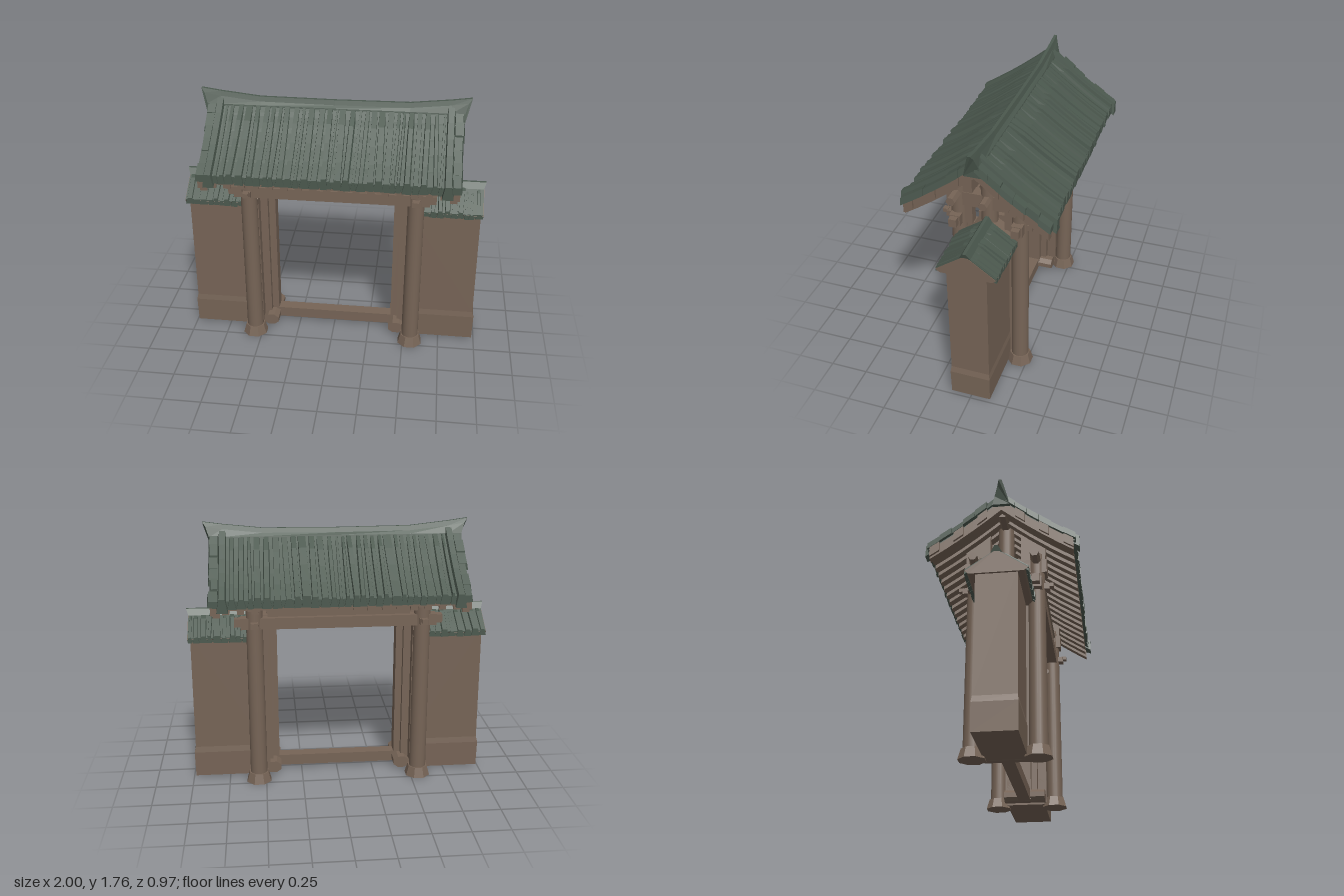
import * as THREE from 'three';
import { toCreasedNormals } from 'three/addons/utils/BufferGeometryUtils.js';

const wood = new THREE.MeshStandardMaterial({ color: 0x766456 });
wood.name = 'brown timber';
const tile = new THREE.MeshStandardMaterial({ color: 0x4b584e });
tile.name = 'green tile';

let seed = 7;
const rnd = (a, b) => {
  seed = (seed * 16807) % 2147483647;
  return a + (b - a) * seed / 2147483647;
};

// Closed flat-sided solid through rings of [x, y, z] points, always facing outwards
function loft(rings) {
  const tris = [], n = rings[0].length, last = rings[rings.length - 1];
  for (let i = 0; i < rings.length - 1; i++) {
    const a = rings[i], b = rings[i + 1];
    for (let j = 0; j < n; j++) {
      const k = (j + 1) % n;
      tris.push([a[j], a[k], b[k]], [a[j], b[k], b[j]]);
    }
  }
  for (let j = 1; j < n - 1; j++) {
    tris.push([rings[0][0], rings[0][j + 1], rings[0][j]], [last[0], last[j], last[j + 1]]);
  }
  const c = rings[0][0];
  let volume = 0;
  for (const t of tris) {
    const [p, q, r] = t.map(v => new THREE.Vector3(v[0] - c[0], v[1] - c[1], v[2] - c[2]));
    volume += p.dot(q.cross(r));
  }
  if (volume < 0) tris.forEach(t => t.reverse());
  const g = new THREE.BufferGeometry();
  g.setAttribute('position', new THREE.Float32BufferAttribute(tris.flat(2), 3));
  g.computeVertexNormals();
  return g;
}

function add(parent, name, geometry, material, x = 0, y = 0, z = 0) {
  const m = new THREE.Mesh(geometry, material);
  m.name = name;
  m.position.set(x, y, z);
  parent.add(m);
  return m;
}

// Box given by its limits on each axis
const box = (parent, name, mat, x0, x1, y0, y1, z0, z1) =>
  add(parent, name, new THREE.BoxGeometry(Math.abs(x1 - x0), y1 - y0, Math.abs(z1 - z0)), mat,
    (x0 + x1) / 2, (y0 + y1) / 2, (z0 + z1) / 2);

// Six-sided log running along x
const log = (parent, name, r, length, y, z) =>
  add(parent, name, toCreasedNormals(new THREE.CylinderGeometry(r, r, length, 6).rotateZ(Math.PI / 2), 0.6), wood, 0, y, z);

// Solid along x from a [z, y] outline
const prism = (outline, x0, x1) => loft([x0, x1].map(x => outline.map(([z, y]) => [x, y, z])));

// Height of each roof surface at a distance from the ridge
const mainSlope = z => 1.69 - 0.85 * Math.abs(z) + 0.25 * z * z;
const wingSlope = z => 1.16 - 0.7 * Math.abs(z);

// Strip that follows a slope, between two offsets from the surface
function strip(slope, x0, x1, z0, z1, low, high, inset = 0, steps = 5, skew = 0, topHigh = high) {
  const rings = [];
  for (let i = 0; i <= steps; i++) {
    const t = i / steps, z = z0 + (z1 - z0) * t, y = slope(z), s = skew * (t - 0.5);
    const h = i ? high : topHigh;
    rings.push([[x0 + s, y + low, z], [x1 + s, y + low, z],
      [x1 - inset + s, y + h, z], [x0 + inset + s, y + h, z]]);
  }
  return loft(rings);
}

// Uneven tile rows side by side over one slope, fading out towards the ridge
function tileRows(parent, slope, x0, x1, zTop, zEave, pitch, height, low) {
  const dir = Math.sign(zEave);
  for (let x = x0; x < x1 - pitch * 0.4;) {
    const w = Math.min(pitch * rnd(0.6, 1.3), x1 - x);
    add(parent, 'tileRow', strip(slope, x, x + w * 0.97, zTop + dir * rnd(0, 0.02), zEave + dir * rnd(-0.004, 0.003),
      low, height * rnd(0.25, 1), w * rnd(0.1, 0.32), 4, rnd(-0.012, 0.012), 0.004), tile);
    x += w;
  }
}

function buildMainRoof() {
  const roof = new THREE.Group();
  roof.name = 'mainRoof';
  for (const s of [1, -1]) {
    add(roof, 'roofSlab', strip(mainSlope, -0.8, 0.8, 0, s * 0.46, -0.045, 0), tile);
    add(roof, 'soffit', strip(mainSlope, -0.78, 0.78, 0, s * 0.445, -0.075, -0.046), wood);
    tileRows(roof, mainSlope, -0.71, 0.71, s * 0.025, s * 0.468, 0.052, 0.03, -0.045);
    for (let i = 0; i < 17; i++) {
      const x = -0.72 + 1.44 * i / 16;
      add(roof, 'rafter', strip(mainSlope, x - 0.022, x + 0.022, s * 0.02, s * 0.445, -0.1, -0.07, 0, 3), wood);
    }
    for (const e of [1, -1]) {
      add(roof, 'endTileRow', strip(mainSlope, e * 0.705, e * 0.775, s * 0.015, s * 0.485, -0.055, 0.032, e * 0.016), tile);
      add(roof, 'bargeBoard', strip(mainSlope, e * 0.755, e * 0.8, 0, s * 0.45, -0.115, -0.035), wood);
      // Short tiles lapping over the gable edge
      for (let i = 0; i < 6; i++) {
        const z = s * (0.015 + i * 0.075), out = rnd(0.815, 0.832);
        add(roof, 'edgeTile', strip(mainSlope, e * 0.76, e * out, z, z + s * 0.074,
          -0.038, rnd(0.002, 0.016), e * 0.008, 1), tile);
        // Board ends stepping out under the edge tiles
        if (i % 2) {
          add(roof, 'boardEnd', strip(mainSlope, e * 0.78, e * 0.815, z, z + s * 0.06, -0.1, -0.035, 0, 1), wood);
        }
      }
    }
  }
  // Ridge, rising to pointed ends
  const ridge = [[-0.85, 1.76], [-0.74, 1.742], [-0.48, 1.714], [0, 1.71], [0.48, 1.714], [0.74, 1.742], [0.85, 1.76]];
  add(roof, 'ridge', loft(ridge.map(([x, top]) => {
    const end = Math.abs(x) > 0.8, b = end ? Math.sign(x) * 0.825 : x, t = end ? Math.sign(x) * 0.867 : x;
    return [[b, 1.6, 0.055], [b, 1.665, 0.04], [(b + t) / 2, top - 0.03, 0.02], [t, top, 0.01],
      [t, top, -0.01], [(b + t) / 2, top - 0.03, -0.02], [b, 1.665, -0.04], [b, 1.6, -0.055]];
  })), tile);
  return roof;
}

// Side wall with its small gabled roof
function buildWing(side) {
  const wing = new THREE.Group();
  wing.name = side > 0 ? 'leftWing' : 'rightWing';
  const wall = [[0.015, 0.985, 0.131], [0.19, 0.988, 0.133], [0.23, 0.978, 0.127], [1.03, 0.974, 0.127]];
  add(wing, 'wall', loft(wall.map(([y, x, z]) => {
    const a = side * 0.5, b = side * x;
    return [[a, y, -z], [b, y, -z], [b, y, z], [a, y, z]];
  })), wood);
  const gable = [[-0.165, 1.005], [0.165, 1.005], [0.19, 1.025], [0, 1.16], [-0.19, 1.025]];
  add(wing, 'gable', prism(gable, side * 0.5, side * 0.988), wood);
  for (const s of [1, -1]) {
    const a = side > 0 ? 0.6 : -0.985, b = side > 0 ? 0.985 : -0.6;
    add(wing, 'wingSlab', strip(wingSlope, a, b, 0, s * 0.188, -0.022, 0.006, 0, 2), tile);
    tileRows(wing, wingSlope, a, b, s * 0.01, s * 0.193, 0.045, 0.026, -0.025);
  }
  add(wing, 'wingRidge', loft([[0.6, 0.6], [0.985, 1.0]].map(([b, t]) =>
    [[side * b, 1.14, 0.035], [side * t, 1.183, 0.01], [side * t, 1.183, -0.01], [side * b, 1.14, -0.035]])), tile);
  return wing;
}

// Posts, brackets and gable framing at one end
function buildEndFrame(side) {
  const frame = new THREE.Group();
  frame.name = side > 0 ? 'leftEndFrame' : 'rightEndFrame';
  const x = side * 0.55;
  for (const s of [1, -1]) {
    const z = s * 0.197;
    add(frame, 'post', new THREE.CylinderGeometry(0.053, 0.057, 1.32, 20), wood, x, 0.7, z);
    const base = new THREE.CylinderGeometry(0.068, 0.088, 0.068, 8).rotateY(Math.PI / 8);
    add(frame, 'postBase', toCreasedNormals(base, 0.6), wood, x, 0.034, z);
    box(frame, 'bracketArm', wood, x - 0.025, x + 0.025, 1.11, 1.15, s * 0.13, s * 0.28);
    box(frame, 'bracketTip', wood, x - 0.018, x + 0.018, 1.13, 1.155, s * 0.27, s * 0.305);
    box(frame, 'bracketBlock', wood, x - 0.03, x + 0.03, 1.09, 1.24, s * 0.105, s * 0.235);
    // Strut filling the corner between cross beam and roof
    const strut = [[0.1, 1.24], [0.25, 1.24], [0.26, 1.41], [0.1, 1.53]].map(([a, y]) => [s * a, y]);
    add(frame, 'strut', prism(strut, x - 0.035, x + 0.035), wood);
  }
  add(frame, 'kingPost', new THREE.CylinderGeometry(0.052, 0.052, 0.58, 16), wood, x, 1.31, 0);
  box(frame, 'crossBeam', wood, x - 0.04, x + 0.04, 1.225, 1.32, -0.265, 0.265);
  // Door jambs and pivot stone
  box(frame, 'wallPost', wood, side * 0.5, side * 0.56, 0.03, 1.09, -0.145, 0.145);
  box(frame, 'outerJamb', wood, side * 0.45, side * 0.52, 0.03, 1.09, -0.085, 0.085);
  box(frame, 'innerJamb', wood, side * 0.405, side * 0.46, 0.03, 1.09, -0.045, 0.045);
  const stone = new THREE.CylinderGeometry(0.043, 0.043, 0.28, 8).rotateY(Math.PI / 8).rotateX(Math.PI / 2).scale(1.35, 1, 1);
  add(frame, 'pivotStone', toCreasedNormals(stone, 0.6), wood, side * 0.448, 0.06, 0);
  return frame;
}

export function createModel() {
  const gate = new THREE.Group();
  gate.name = 'gate';
  gate.add(buildMainRoof());
  for (const side of [1, -1]) gate.add(buildWing(side), buildEndFrame(side));

  // Doorway
  box(gate, 'threshold', wood, -0.46, 0.46, 0.025, 0.1, -0.04, 0.04);
  box(gate, 'innerLintel', wood, -0.46, 0.46, 1.035, 1.09, -0.045, 0.045);
  box(gate, 'outerLintel', wood, -0.52, 0.52, 1.085, 1.15, -0.085, 0.085);
  box(gate, 'transomPanel', wood, -0.46, 0.46, 1.14, 1.3, -0.03, 0.03);

  // Long beams and purlins
  for (const s of [1, -1]) {
    box(gate, 'longBeam', wood, -0.64, 0.64, 1.095, 1.17, s * 0.165, s * 0.235);
    box(gate, 'longBeamTip', wood, -0.68, 0.68, 1.11, 1.165, s * 0.175, s * 0.225);
    box(gate, 'upperBeam', wood, -0.465, 0.465, 1.175, 1.28, s * 0.175, s * 0.22);
    log(gate, 'eavePurlin', 0.03, 1.4, 1.31, s * 0.197);
  }
  log(gate, 'middlePurlin', 0.028, 1.36, 1.3, 0);
  log(gate, 'ridgePurlin', 0.035, 1.5, 1.585, 0);
  return gate;
}
